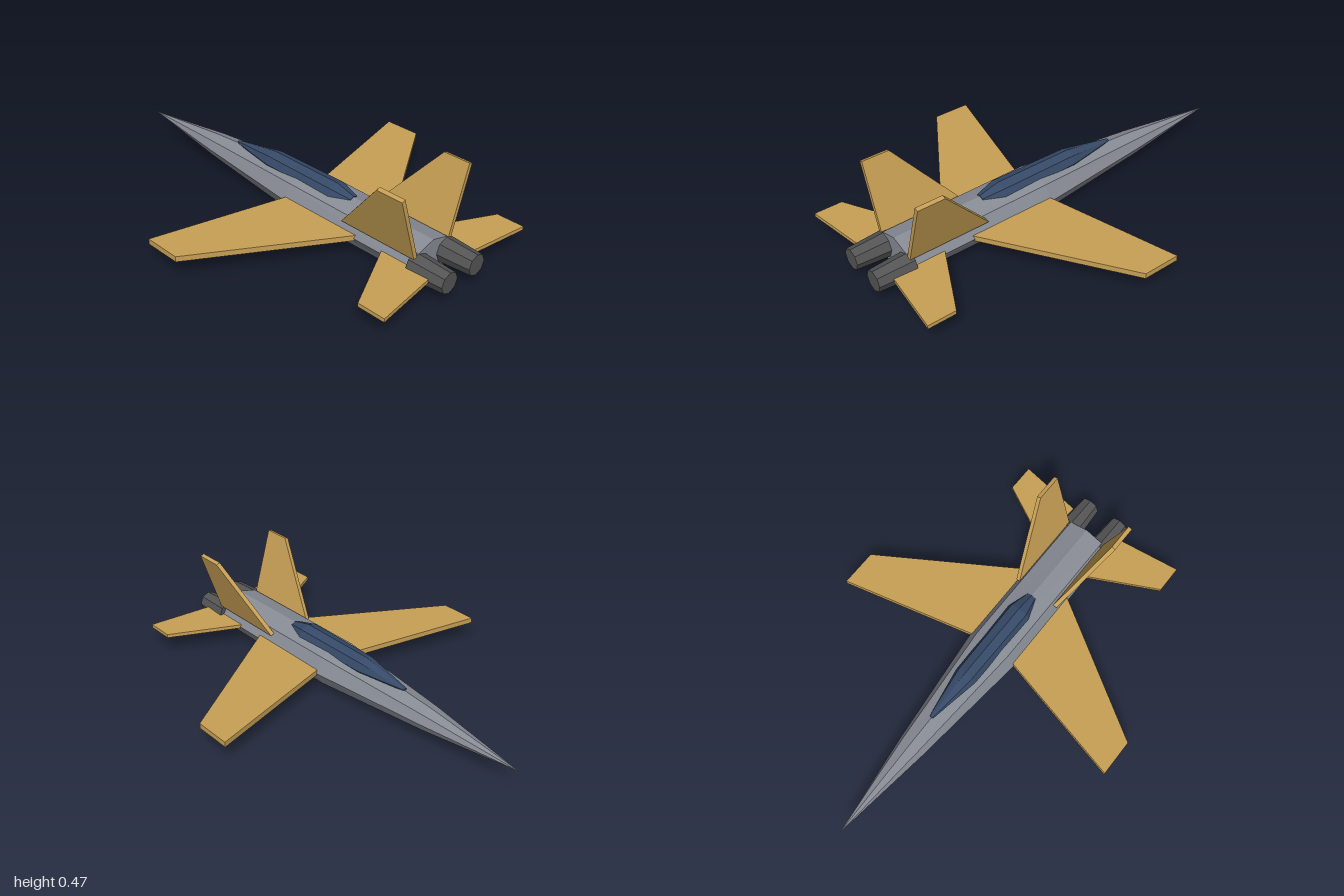
import * as THREE from 'three';

const paint = (name, color) => {
  const m = new THREE.MeshStandardMaterial({ color, flatShading: true });
  m.name = name;
  return m;
};

// Closed eight-sided loft along z; each section is [z, centreY, radiusX, radiusY].
function loft(sections, sides = 8) {
  const pos = [], index = [];
  for (const [z, cy, rx, ry] of sections) {
    for (let j = 0; j < sides; j++) {
      const a = (j / sides) * Math.PI * 2;
      pos.push(rx * Math.cos(a), cy + ry * Math.sin(a), z);
    }
  }
  const last = (sections.length - 1) * sides;
  for (let j = 0; j < sides; j++) {
    const k = (j + 1) % sides;
    for (let r = 0; r < last; r += sides) {
      const a = r + j, b = r + k, c = b + sides, d = a + sides;
      if (sections[r / sides][2] > 0) index.push(a, b, c);
      index.push(a, c, d);
    }
    // end caps as fans
    if (j > 0 && j < sides - 1) {
      index.push(last, last + j, last + k);
      if (sections[0][2] > 0) index.push(0, k, j);
    }
  }
  const g = new THREE.BufferGeometry();
  g.setAttribute('position', new THREE.Float32BufferAttribute(pos, 3));
  g.setIndex(index);
  const flat = g.toNonIndexed();
  flat.computeVertexNormals();
  return flat;
}

// Flat panel lying in the xz plane; outline points are [span, z].
function panel(outline, thickness, side) {
  const shape = new THREE.Shape(outline.map(([s, z]) => new THREE.Vector2(side * s, z)));
  const g = new THREE.ExtrudeGeometry(shape, { depth: thickness, bevelEnabled: false });
  return g.rotateX(Math.PI / 2).translate(0, thickness / 2, 0);
}

export function createModel() {
  const model = new THREE.Group();
  model.name = 'jet';
  const hull = paint('hull grey', 0x888c95);
  const gold = paint('wing gold', 0xc8a055);
  const glass = paint('canopy blue', 0x364a68);
  const dark = paint('nozzle grey', 0x555555);

  const add = (name, geometry, material, x = 0, y = 0, z = 0) => {
    const mesh = new THREE.Mesh(geometry, material);
    mesh.name = name;
    mesh.position.set(x, y, z);
    model.add(mesh);
    return mesh;
  };

  // Body with the sharp nose at -z
  add('fuselage', loft([
    [-1, 0.1, 0, 0],
    [-0.5, 0.1, 0.066, 0.056],
    [0.1, 0.1, 0.13, 0.1],
    [0.84, 0.1, 0.13, 0.09],
  ]), hull);

  add('canopy', loft([
    [-0.35, 0.175, 0.01, 0.005],
    [-0.1, 0.175, 0.054, 0.05],
    [0.3, 0.175, 0.06, 0.05],
    [0.4, 0.175, 0.03, 0.024],
  ]), glass);

  const wing = [[0.1, 0.105], [0.765, -0.06], [0.765, 0.12], [0.1, 0.54]];
  const tail = [[0.1, 0.66], [0.45, 0.84], [0.45, 0.975], [0.1, 0.928]];
  const fin = [[0, 0.44], [0.33, 0.71], [0.33, 0.84], [0, 0.84]];
  const lean = 0.307;

  for (const side of [1, -1]) {
    const word = side > 0 ? 'left' : 'right';
    add(word + 'Wing', panel(wing, 0.026, side), gold, 0, 0.102, 0);
    add(word + 'Tailplane', panel(tail, 0.018, side), gold, 0, 0.102, 0);

    // Upright fins lean outwards
    const f = add(word + 'Fin', panel(fin, 0.02, side), gold, side * 0.11, 0.15, 0);
    f.rotation.z = side * (Math.PI / 2 - lean);

    // Tapered engine nozzles
    const nozzle = new THREE.CylinderGeometry(0.05, 0.061, 0.18, 8).rotateX(Math.PI / 2);
    add(word + 'Nozzle', nozzle, dark, side * 0.088, 0.102, 0.91);
  }
  return model;
}
